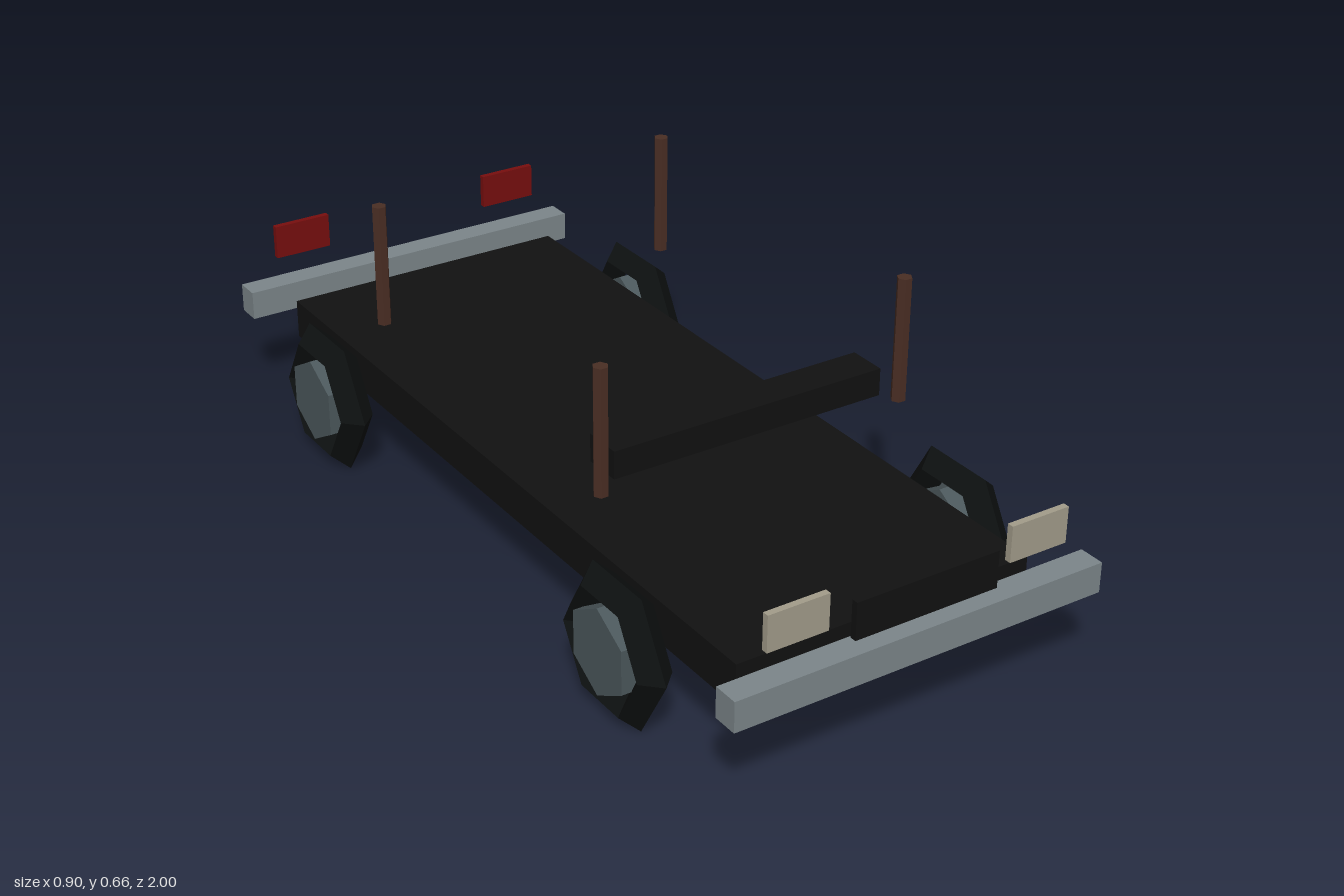
import * as THREE from 'three';

const paint = (name, color) => {
  const m = new THREE.MeshStandardMaterial({ color });
  m.name = name;
  return m;
};

// Gives every face its own normal for a faceted low-poly look
function faceted(geometry) {
  const g = geometry.index ? geometry.toNonIndexed() : geometry;
  g.computeVertexNormals();
  return g;
}

export function createModel() {
  const model = new THREE.Group();
  model.name = 'carChassis';

  const black = paint('black', 0x111111);
  const rubber = paint('rubber black', 0x0d1010);
  const steel = paint('bumper grey', 0x7c868a);
  const hubGrey = paint('hub grey', 0x4c585c);
  const cream = paint('headlight cream', 0xa39d8b);
  const red = paint('tail light red', 0x780e0e);
  const brown = paint('post brown', 0x4a2e24);

  const add = (name, geometry, material, x, y, z, parent = model) => {
    const mesh = new THREE.Mesh(geometry, material);
    mesh.name = name;
    mesh.position.set(x, y, z);
    parent.add(mesh);
    return mesh;
  };
  const box = (name, w, h, d, material, x, y, z) =>
    add(name, new THREE.BoxGeometry(w, h, d), material, x, y, z);

  // Floor, dashboard and grille
  box('floor', 0.678, 0.09, 1.77, black, 0, 0.2, 0);
  box('dashboard', 0.63, 0.06, 0.085, black, 0, 0.434, 0.402);
  box('grille', 0.325, 0.08, 0.014, black, 0, 0.335, 0.992);

  // Bumpers
  box('frontBumper', 0.845, 0.066, 0.057, steel, 0, 0.23, 0.9715);
  box('rearBumper', 0.845, 0.066, 0.057, steel, 0, 0.23, -0.9715);

  const postGeometry = faceted(new THREE.CylinderGeometry(0.016, 0.016, 0.272, 6).rotateY(Math.PI / 2));
  // Six-sided tyre with a diamond section, its axle along x
  const tyreGeometry = faceted(new THREE.TorusGeometry(0.129, 0.039, 4, 6).rotateY(Math.PI / 2));
  // Six-sided hub with a corner pointing up
  const hubGeometry = faceted(
    new THREE.CylinderGeometry(0.097, 0.097, 0.088, 6).rotateZ(Math.PI / 2).rotateX(Math.PI / 2));

  for (const [side, s] of [['left', 1], ['right', -1]]) {
    // Lights
    box(side + 'Headlight', 0.135, 0.078, 0.014, cream, s * 0.275, 0.362, 0.973);
    box(side + 'TailLight', 0.135, 0.078, 0.014, red, s * 0.275, 0.362, -0.973);

    // Posts
    add(side + 'FrontPost', postGeometry, brown, s * 0.353, 0.526, 0.458);
    add(side + 'RearPost', postGeometry, brown, s * 0.353, 0.526, -0.41);

    // Wheels
    for (const [end, z] of [['Front', 0.594], ['Rear', -0.594]]) {
      const wheel = new THREE.Group();
      wheel.name = side + end + 'Wheel';
      wheel.position.set(s * 0.405, 0.1465, z);
      add('tyre', tyreGeometry, rubber, 0, 0, 0, wheel);
      add('hub', hubGeometry, hubGrey, 0, 0, 0, wheel);
      model.add(wheel);
    }
  }
  return model;
}
